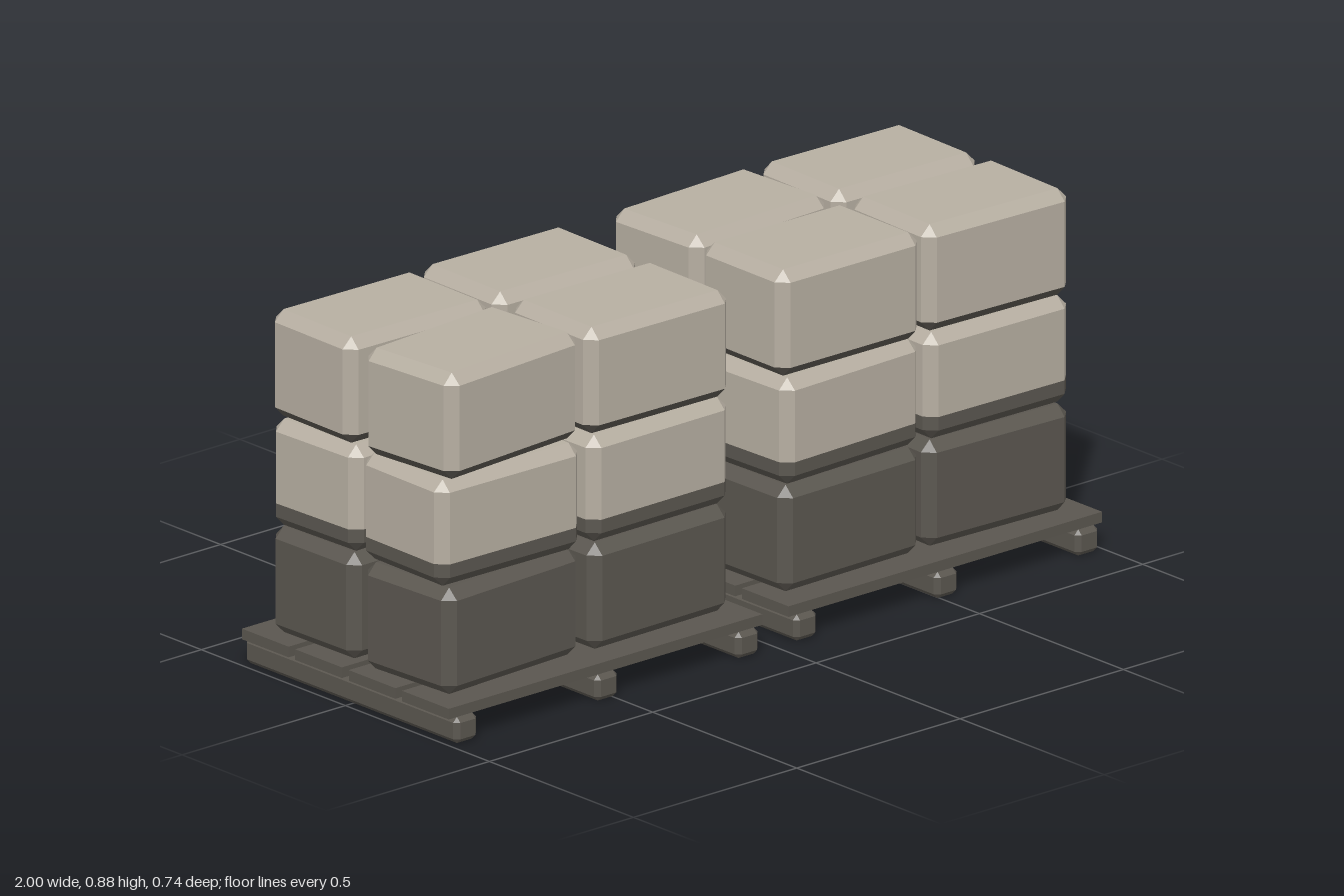
import * as THREE from 'three';

const light = new THREE.MeshStandardMaterial({ color: 0xb6aea1 });
light.name = 'paleSacking';
const dark = new THREE.MeshStandardMaterial({ color: 0x5a564f });
dark.name = 'darkGrey';

// Octagonal section of a chamfered box; inset 0 is the full outline, inset c the end face
function section(w, d, c, y, inset) {
  const x = w / 2, z = d / 2, k = c;
  const X = x - inset, Z = z - inset;
  return [
    [X, -(z - k)], [X, z - k], [x - k, Z], [-(x - k), Z],
    [-X, z - k], [-X, -(z - k)], [-(x - k), -Z], [x - k, -Z],
  ].map(([px, pz]) => new THREE.Vector3(px, y, pz));
}

// Box with every edge chamfered, standing on y = 0; faces below 'split' take the second material
function chamferedBox(w, h, d, c, split = 0) {
  const levels = [[0, c], [c, 0]];
  if (split > c && split < h - c) levels.push([split, 0]);
  levels.push([h - c, 0], [h, c]);
  const rings = levels.map(([y, inset]) => section(w, d, c, y, inset));
  const pts = [];
  const geo = new THREE.BufferGeometry();
  const tri = (a, b, e) => {
    const area = new THREE.Vector3().crossVectors(b.clone().sub(a), e.clone().sub(a)).length();
    if (area > 1e-9) pts.push(a, b, e);
  };
  const cap = (ring, up) => {
    for (let i = 1; i < 7; i++) up ? tri(ring[0], ring[i + 1], ring[i]) : tri(ring[0], ring[i], ring[i + 1]);
  };
  let lowerCount = 0;
  cap(rings[0], false);
  for (let r = 0; r < rings.length - 1; r++) {
    const a = rings[r], b = rings[r + 1];
    for (let i = 0; i < 8; i++) {
      const j = (i + 1) % 8;
      tri(a[i], b[i], b[j]);
      tri(a[i], b[j], a[j]);
    }
    if (levels[r + 1][0] <= split + 1e-6) lowerCount = pts.length;
  }
  cap(rings[rings.length - 1], true);
  geo.setFromPoints(pts);
  geo.computeVertexNormals();
  if (lowerCount) geo.addGroup(0, lowerCount, 1);
  geo.addGroup(lowerCount, pts.length - lowerCount, 0);
  return geo;
}

// One pallet: four deck boards on three runners
function pallet() {
  const g = new THREE.Group();
  const boardGeo = new THREE.BoxGeometry(0.96, 0.026, 0.162);
  for (const z of [-0.278, -0.093, 0.093, 0.278]) {
    const board = new THREE.Mesh(boardGeo, dark);
    board.name = 'deckBoard';
    board.position.set(0, 0.077, z);
    g.add(board);
  }
  const runnerGeo = chamferedBox(0.07, 0.064, 0.74, 0.012);
  for (const x of [-0.431, 0, 0.431]) {
    const runner = new THREE.Mesh(runnerGeo, [dark]);
    runner.name = 'runner';
    runner.position.x = x;
    g.add(runner);
  }
  return g;
}

export function createModel() {
  const model = new THREE.Group();
  model.name = 'loadedPallets';
  const W = 0.432, H = 0.26, D = 0.292, C = 0.026;

  // Layers from the bottom up: base height, geometry, materials
  const layers = [
    { y: 0.09, geo: chamferedBox(W, H, D, C), mats: [dark, dark] },
    { y: 0.353, geo: chamferedBox(W, H, D, C, 0.059), mats: [light, dark] },
    { y: 0.616, geo: chamferedBox(W, H, D, C, C), mats: [light, dark] },
  ];
  // Slight turn in degrees of each sack: back left, back right, front left, front right
  const turns = {
    '-1': [[1, -2, 3, 1], [2, 1, -1, 0.5], [-1, -1, 4.5, -1]],
    '1': [[0, 2, 1, -2], [-1, 1, 2, -1], [2.5, -1.5, -0.5, -2]],
  };

  for (const side of [-1, 1]) {
    const load = new THREE.Group();
    load.name = side < 0 ? 'rightPalletLoad' : 'leftPalletLoad';
    load.position.x = side * 0.52;
    const base = pallet();
    base.name = 'pallet';
    load.add(base);
    layers.forEach((layer, l) => {
      for (let i = 0; i < 4; i++) {
        const sack = new THREE.Mesh(layer.geo, layer.mats);
        sack.name = 'sack';
        sack.position.set(i % 2 ? 0.226 : -0.23, layer.y, i < 2 ? -0.162 : 0.155);
        sack.rotation.y = THREE.MathUtils.degToRad(turns[side][l][i]);
        load.add(sack);
      }
    });
    model.add(load);
  }
  return model;
}
